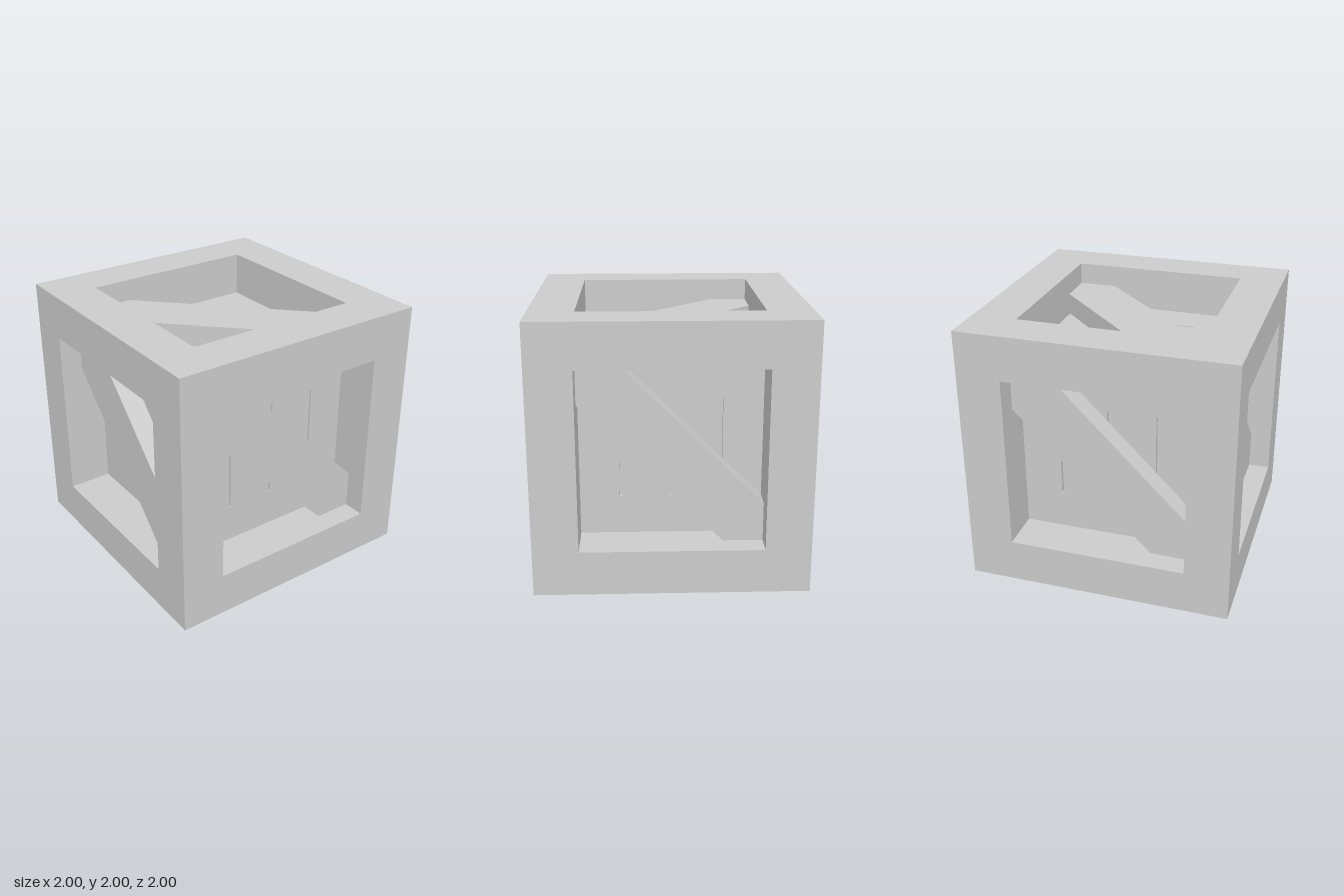
import * as THREE from 'three';

const EDGE = 1 / 3;            // frame bar thickness
const INNER = 2 / 3;           // half size of the recessed core
const GROOVE_DEPTH = 0.035;
const CORE = INNER - GROOVE_DEPTH;

function polygon(points, Type = THREE.Shape) {
  return new Type(points.map(([x, y]) => new THREE.Vector2(x, y)));
}

function rect(cx, cy, w, h, Type) {
  const x = w / 2, y = h / 2;
  return polygon([[cx - x, cy - y], [cx + x, cy - y], [cx + x, cy + y], [cx - x, cy + y]], Type);
}

export function createModel() {
  const grey = new THREE.MeshStandardMaterial({ color: 0xcccccc });
  grey.name = 'plainGrey';

  const crate = new THREE.Group();
  crate.name = 'crate';
  const body = new THREE.Group();
  body.name = 'body';
  body.position.y = 1;
  crate.add(body);

  const add = (parent, name, geometry, x = 0, y = 0, z = 0) => {
    const mesh = new THREE.Mesh(geometry, grey);
    mesh.name = name;
    mesh.position.set(x, y, z);
    parent.add(mesh);
  };

  // Outer frame: four full-height posts with rails fitted between them
  const post = new THREE.BoxGeometry(EDGE, 2, EDGE);
  const railX = new THREE.BoxGeometry(2 * INNER, EDGE, EDGE);
  const railZ = new THREE.BoxGeometry(EDGE, EDGE, 2 * INNER);
  const mid = 1 - EDGE / 2;
  for (const a of [-mid, mid]) {
    for (const b of [-mid, mid]) {
      add(body, 'cornerPost', post, a, 0, b);
      add(body, 'crossRail', railX, 0, a, b);
      add(body, 'sideRail', railZ, a, b, 0);
    }
  }

  // Solid core that forms the floor of the board grooves
  add(body, 'core', new THREE.BoxGeometry(2 * CORE, 2 * CORE, 2 * CORE));

  // Recessed panel with three narrow grooves between its boards
  const panel = (halfW, halfH, horizontal) => {
    const shape = rect(0, 0, 2 * halfW, 2 * halfH);
    for (const c of [-0.368, 0, 0.368]) {
      shape.holes.push(horizontal
        ? rect(0, c, 0.75, 0.016, THREE.Path)
        : rect(c, 0, 0.016, 0.75, THREE.Path));
    }
    return new THREE.ExtrudeGeometry(shape, { depth: GROOVE_DEPTH, bevelEnabled: false });
  };

  // Diagonal brace, trimmed to the corners of the opening
  const cut = 0.375;
  const brace = new THREE.ExtrudeGeometry(polygon([
    [-INNER, INNER], [-INNER, cut], [cut, -INNER],
    [INNER, -INNER], [INNER, -cut], [-cut, INNER],
  ]), { depth: EDGE / 2, bevelEnabled: false });

  // Six sides; panel sizes interlock at the core edges
  const sides = [
    ['front', 0, 0, INNER, INNER, false],
    ['left', 0, Math.PI / 2, CORE, INNER, false],
    ['back', 0, Math.PI, INNER, INNER, false],
    ['right', 0, -Math.PI / 2, CORE, INNER, false],
    ['top', -Math.PI / 2, 0, CORE, CORE, true],
    ['bottom', Math.PI / 2, 0, CORE, CORE, true],
  ];
  for (const [name, rx, ry, halfW, halfH, horizontal] of sides) {
    const side = new THREE.Group();
    side.name = name + 'Side';
    side.rotation.set(rx, ry, 0);
    add(side, name + 'Panel', panel(halfW, halfH, horizontal), 0, 0, CORE);
    add(side, name + 'Brace', brace, 0, 0, INNER);
    body.add(side);
  }
  return crate;
}
